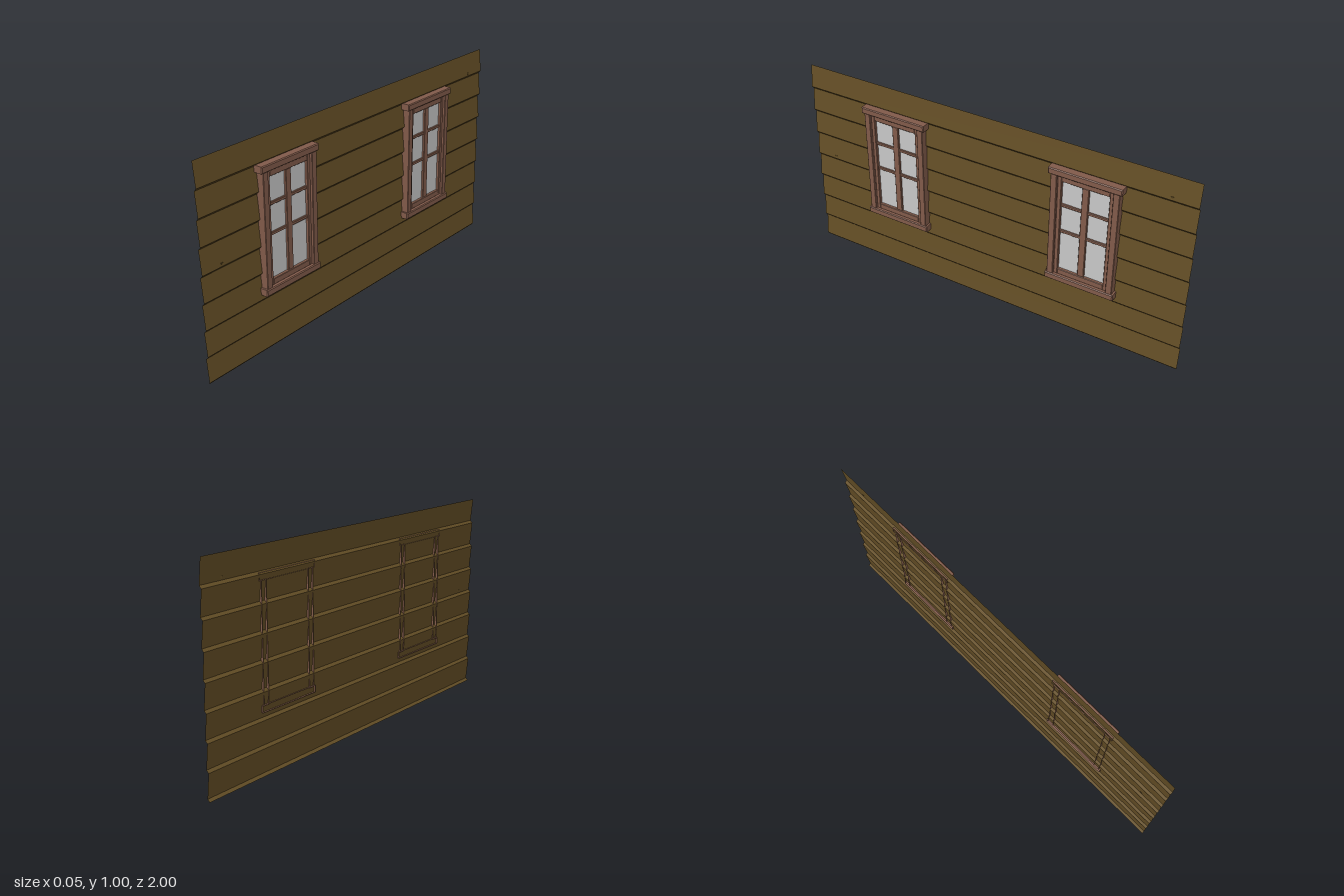
import * as THREE from 'three';

const wood = new THREE.MeshStandardMaterial({ color: 0x654f26, side: THREE.DoubleSide });
wood.name = 'brown siding';
const trim = new THREE.MeshStandardMaterial({ color: 0x835c4b, side: THREE.DoubleSide });
trim.name = 'reddish trim';
const pane = new THREE.MeshStandardMaterial({ color: 0xcacaca });
pane.name = 'pale glass';

const BACK = -0.024;

function addMesh(parent, name, geometry, material) {
  const mesh = new THREE.Mesh(geometry, material);
  mesh.name = name;
  parent.add(mesh);
  return mesh;
}

// Open-backed bar from x0 to x1 with chamfered front edges
function bar(parent, name, x0, x1, y0, y1, z0, z1, chamfer = 0.002) {
  const w = x1 - x0, h = y1 - y0, d = z1 - z0;
  const box = new THREE.BoxGeometry(w, h, d, 2, 1, 1);
  const index = Array.from(box.index.array);
  index.splice(6, 6); // leave the hidden back open
  box.setIndex(index);
  const p = box.attributes.position;
  for (let i = 0; i < p.count; i++) {
    if (Math.abs(p.getX(i)) < 1e-6) p.setX(i, w / 2 - chamfer);
    else if (p.getX(i) > 0) {
      p.setY(i, p.getY(i) - Math.sign(p.getY(i)) * chamfer);
      p.setZ(i, p.getZ(i) - Math.sign(p.getZ(i)) * chamfer);
    }
  }
  const geometry = box.toNonIndexed();
  geometry.computeVertexNormals();
  geometry.translate((x0 + x1) / 2, (y0 + y1) / 2, (z0 + z1) / 2);
  return addMesh(parent, name, geometry, trim);
}

// Thin overlapping boards: each leans out to its lower edge, then tucks back under
function createSiding() {
  const profile = [];
  for (let i = 0; i < 8; i++) {
    const y = i * 0.125;
    profile.push([BACK + 0.001, y], [-0.012, y + 0.012]);
  }
  profile.push([BACK, 1]);
  const v = [];
  for (let i = 0; i < profile.length - 1; i++) {
    const [xa, ya] = profile[i], [xb, yb] = profile[i + 1];
    v.push(xa, ya, 1, xa, ya, -1, xb, yb, -1, xa, ya, 1, xb, yb, -1, xb, yb, 1);
  }
  const geometry = new THREE.BufferGeometry();
  geometry.setAttribute('position', new THREE.Float32BufferAttribute(v, 3));
  geometry.computeVertexNormals();
  return geometry;
}

function createWindow() {
  const g = new THREE.Group();
  g.name = 'window';

  // Outer casing, head and sill
  for (const s of [-1, 1]) {
    const a = s * 0.134, b = s * 0.164;
    bar(g, 'sideCasing', BACK, 0.017, 0.315, 0.852, Math.min(a, b), Math.max(a, b));
  }
  bar(g, 'head', BACK, 0.022, 0.85, 0.882, -0.176, 0.176, 0.004);
  bar(g, 'sill', BACK, 0.022, 0.286, 0.318, -0.173, 0.173, 0.004);

  // Recessed sash
  for (const s of [-1, 1]) {
    const a = s * 0.115, b = s * 0.134;
    bar(g, 'sashStile', -0.012, 0.006, 0.318, 0.85, Math.min(a, b), Math.max(a, b));
  }
  bar(g, 'sashTopRail', -0.012, 0.006, 0.818, 0.85, -0.115, 0.115);
  bar(g, 'sashBottomRail', -0.012, 0.006, 0.318, 0.346, -0.115, 0.115);

  // Glazing bars
  bar(g, 'mullion', -0.012, 0.003, 0.346, 0.818, -0.016, 0.016);
  for (const y of [0.555, 0.693]) {
    bar(g, 'glazingBar', -0.012, 0.001, y - 0.007, y + 0.007, -0.115, 0.115);
  }

  // Glass
  const glass = new THREE.PlaneGeometry(0.23, 0.472);
  glass.rotateY(Math.PI / 2);
  glass.translate(-0.008, 0.582, 0);
  addMesh(g, 'glass', glass, pane);
  return g;
}

export function createModel() {
  const model = new THREE.Group();
  model.name = 'windowWall';
  addMesh(model, 'siding', createSiding(), wood);

  for (const z of [-0.5, 0.5]) {
    const win = createWindow();
    win.position.z = z;
    model.add(win);
  }

  // Small splinters on the lower board edges
  for (const [y, z] of [[0.522, 0.89], [0.897, -0.88]]) {
    const chip = new THREE.ConeGeometry(0.011, 0.014, 3).toNonIndexed();
    chip.computeVertexNormals();
    chip.rotateX(Math.PI);
    chip.scale(0.25, 1, 1);
    addMesh(model, 'splinter', chip, wood).position.set(-0.013, y, z);
  }
  return model;
}
